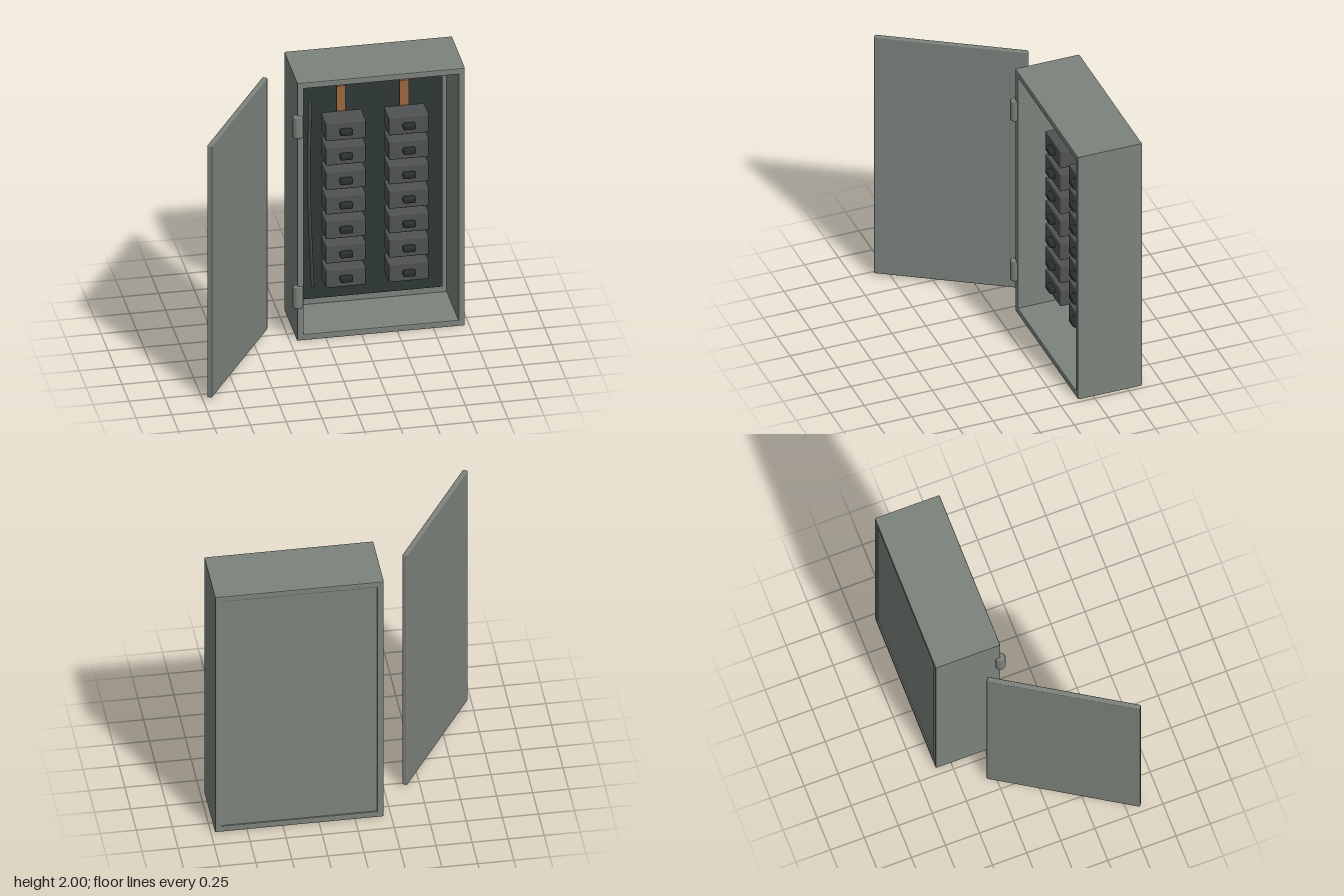
import * as THREE from 'three';
import { RoundedBoxGeometry } from 'three/addons/geometries/RoundedBoxGeometry.js';

const material = (name, color) => {
  const m = new THREE.MeshStandardMaterial({ color });
  m.name = name;
  return m;
};

export function createModel() {
  const steel = material('grey steel', 0x7c827c);
  const panelDark = material('dark panel', 0x2f3837);
  const copper = material('copper', 0x9a663b);
  const housing = material('breaker grey', 0x4f5253);
  const black = material('switch black', 0x2a2e2f);
  const rubber = material('cable grey', 0x484b4b);

  const model = new THREE.Group();
  model.name = 'electricalCabinet';

  const add = (parent, name, geometry, mat, x = 0, y = 0, z = 0) => {
    const mesh = new THREE.Mesh(geometry, mat);
    mesh.name = name;
    mesh.position.set(x, y, z);
    parent.add(mesh);
    return mesh;
  };

  // Rectangle outline for the cabinet shell
  const rectangle = (Type, x0, y0, x1, y1) => {
    const p = new Type();
    p.moveTo(x0, y0);
    p.lineTo(x1, y0);
    p.lineTo(x1, y1);
    p.lineTo(x0, y1);
    p.closePath();
    return p;
  };

  // Cabinet: four walls in one bevelled ring, plus a slightly recessed back
  const cabinet = new THREE.Group();
  cabinet.name = 'cabinet';
  model.add(cabinet);
  const ring = rectangle(THREE.Shape, -0.2, 0, 0.97, 2);
  ring.holes.push(rectangle(THREE.Path, -0.155, 0.047, 0.925, 1.953));
  const bevel = 0.008;
  const shell = new THREE.ExtrudeGeometry(ring, {
    depth: 0.475 - 2 * bevel, bevelEnabled: true, bevelThickness: bevel,
    bevelSize: bevel, bevelOffset: -bevel, bevelSegments: 2,
  });
  add(cabinet, 'cabinetWalls', shell, steel, 0, 0, -0.612 + bevel);
  add(cabinet, 'cabinetBack', new THREE.BoxGeometry(1.09, 1.916, 0.04), steel, 0.385, 1, -0.582);
  add(cabinet, 'mountingPanel', new RoundedBoxGeometry(1, 1.77, 0.064, 2, 0.005), panelDark, 0.385, 1.005, -0.532);

  // Two columns of breakers, each on a copper bar
  const bodyGeometry = new RoundedBoxGeometry(0.28, 0.14, 0.17, 2, 0.008);
  const switchGeometry = new RoundedBoxGeometry(0.088, 0.042, 0.06, 3, 0.012);
  const barGeometry = new THREE.BoxGeometry(0.064, 1.52, 0.02);
  for (const x of [0.165, 0.605]) {
    const column = new THREE.Group();
    column.name = 'breakerColumn';
    model.add(column);
    add(column, 'copperBar', barGeometry, copper, x, 1.025, -0.45);
    for (let i = 0; i < 7; i++) {
      const y = 0.385 + 0.19 * i;
      add(column, 'breakerBody', bodyGeometry, housing, x, y, -0.355);
      add(column, 'breakerSwitch', switchGeometry, black, x, y, -0.26);
    }
  }

  // Loose cable beside the breakers
  const cablePath = new THREE.CatmullRomCurve3([
    new THREE.Vector3(-0.055, 1.68, -0.43),
    new THREE.Vector3(-0.075, 1.05, -0.36),
    new THREE.Vector3(-0.04, 0.27, -0.41),
  ]);
  add(model, 'cable', new THREE.TubeGeometry(cablePath, 24, 0.012, 8), rubber);
  const cableEnd = new THREE.SphereGeometry(0.012, 8, 6);
  for (const t of [0, 1]) {
    add(model, 'cableEnd', cableEnd, rubber).position.copy(cablePath.getPoint(t));
  }

  // Hinge barrels with slightly chamfered ends
  const hingeProfile = [[0, -0.08], [0.03, -0.08], [0.036, -0.074], [0.036, 0.074], [0.03, 0.08], [0, 0.08]];
  const hingeGeometry = new THREE.LatheGeometry(hingeProfile.map(([r, y]) => new THREE.Vector2(r, y)), 20);
  for (const y of [0.343, 1.665]) add(model, 'hinge', hingeGeometry, steel, -0.197, y, -0.137);

  // Open door
  const door = add(model, 'door', new RoundedBoxGeometry(1.072, 1.955, 0.036, 2, 0.008), steel, -0.675, 1.0025, 0.146);
  door.rotation.y = 1.013;

  return model;
}
